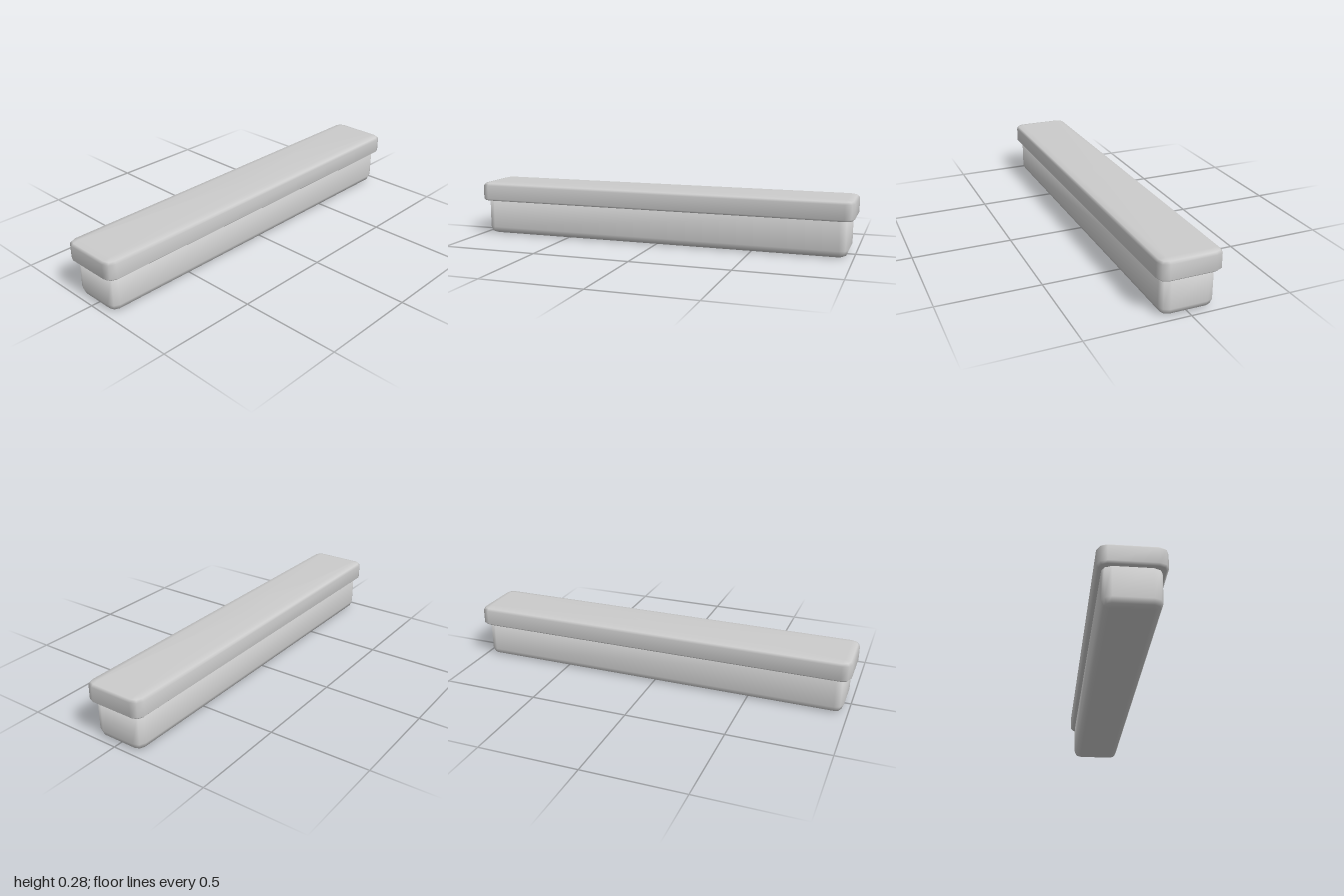
import * as THREE from 'three';

const material = new THREE.MeshStandardMaterial({ color: 0xcccccc });

// Soft-edged block: a rounded-rectangle plan lofted through [inset, height] rings
function softBlock(name, halfX, halfZ, radius, profile, segments = 2) {
  const positions = [], index = [];
  const n = 4 * (segments + 1);
  const signs = [[1, 1], [-1, 1], [-1, -1], [1, -1]];
  for (const [inset, y] of profile) {
    const r = Math.max(radius - inset, 0.004);
    signs.forEach(([sx, sz], corner) => {
      for (let i = 0; i <= segments; i++) {
        const a = (corner + i / segments) * Math.PI / 2;
        positions.push(
          sx * (halfX - inset - r) + r * Math.cos(a), y,
          sz * (halfZ - inset - r) + r * Math.sin(a));
      }
    });
  }
  // Walls between neighbouring rings
  for (let k = 0; k < profile.length - 1; k++) {
    for (let i = 0; i < n; i++) {
      const a = k * n + i, b = k * n + (i + 1) % n;
      index.push(a, a + n, b, b, a + n, b + n);
    }
  }
  // Bottom and top caps
  const last = (profile.length - 1) * n, center = positions.length / 3;
  positions.push(0, profile[0][1], 0, 0, profile[profile.length - 1][1], 0);
  for (let i = 0; i < n; i++) {
    const j = (i + 1) % n;
    index.push(center, i, j, center + 1, last + j, last + i);
  }
  const geometry = new THREE.BufferGeometry();
  geometry.setAttribute('position', new THREE.Float32BufferAttribute(positions, 3));
  geometry.setIndex(index);
  geometry.computeVertexNormals();
  const mesh = new THREE.Mesh(geometry, material);
  mesh.name = name;
  return mesh;
}

export function createModel() {
  const group = new THREE.Group();
  group.name = 'liddedBox';
  // Lower box, its top tucked inside the lid
  group.add(softBlock('body', 0.975, 0.131, 0.042,
    [[0.037, 0], [0.011, 0.011], [0, 0.037], [0, 0.2]]));
  // Overhanging lid
  group.add(softBlock('lid', 1, 0.155, 0.045,
    [[0.036, 0.18], [0.011, 0.184], [0, 0.194], [0, 0.267], [0.011, 0.278], [0.04, 0.284]]));
  return group;
}
